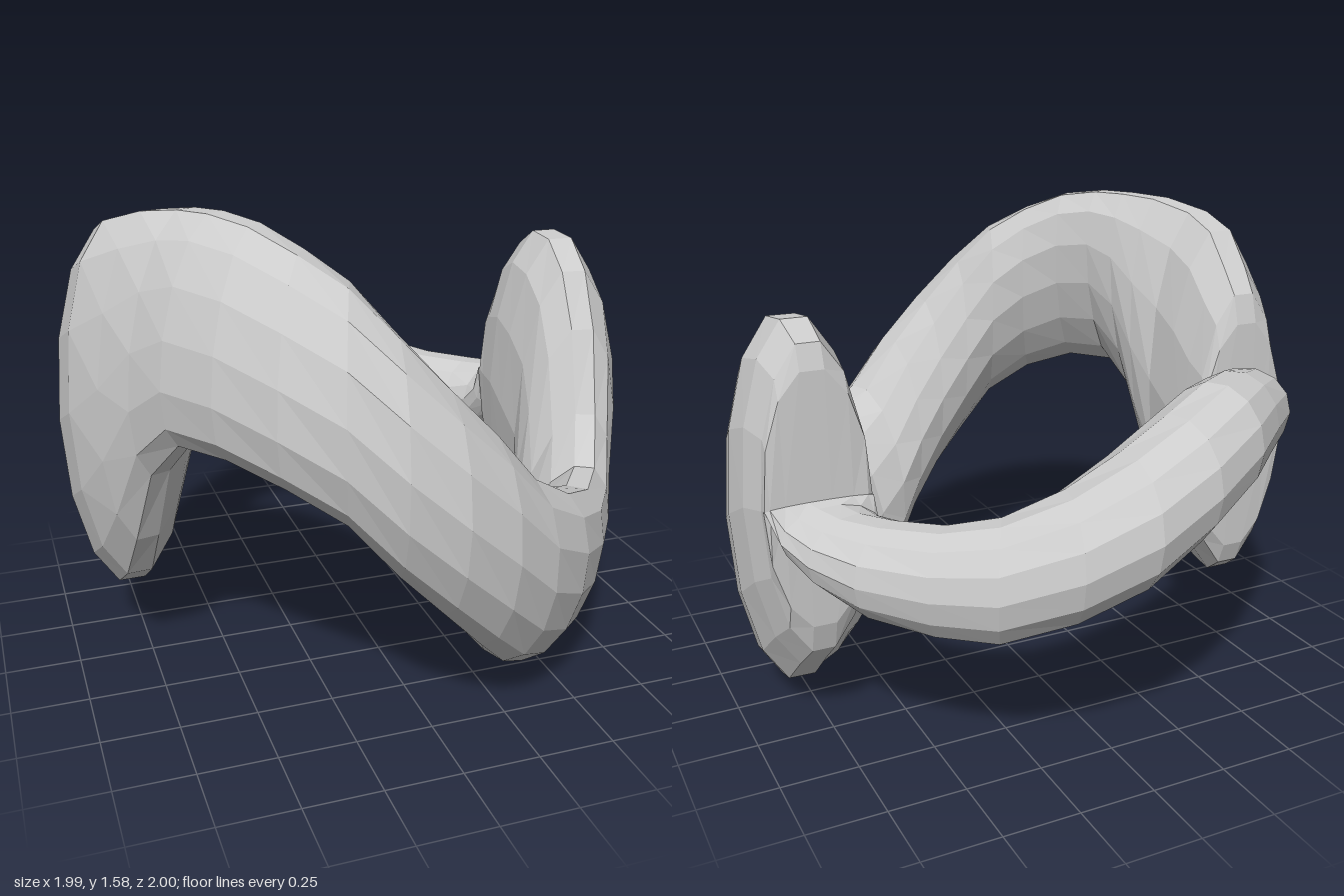
import * as THREE from 'three';

// Half of the loop, front to back along the left side. Each cross-section:
// centre x, centre z, plan angle (deg), half width, lean, centre height, half height
const HALF = [
  [0, 0.785, 0, 0.215, 0, 0, 0.36],
  [0.135, 0.765, 10, 0.21, 0.02, -0.15, 0.36],
  [0.26, 0.71, 20, 0.2, 0.05, -0.3, 0.34],
  [0.39, 0.63, 32, 0.18, 0.07, -0.39, 0.33],
  [0.51, 0.51, 45, 0.16, 0.08, -0.45, 0.33],
  [0.605, 0.38, 58, 0.15, 0.08, -0.46, 0.34],
  [0.67, 0.27, 68, 0.15, 0.07, -0.39, 0.41],
  [0.73, 0.17, 77, 0.17, 0.04, -0.25, 0.54],
  [0.785, 0.06, 84, 0.19, 0, -0.14, 0.61],
  [0.795, -0.07, 88, 0.2, 0, -0.07, 0.63],
  [0.785, -0.18, 90, 0.19, 0, -0.01, 0.58],
  [0.77, -0.26, 90, 0.17, 0, 0, 0.51],
  [0.77, -0.288, 90, 0.17, 0, 0.01, 0.42],
  [0.77, -0.3, 90, 0.17, 0, 0.01, 0.01], // pinch
  [0.75, -0.33, 95, 0.16, 0, -0.08, 0.09],
  [0.71, -0.39, 108, 0.155, 0, -0.125, 0.12],
  [0.63, -0.48, 122, 0.155, 0, -0.16, 0.15],
  [0.5, -0.6, 140, 0.15, 0, -0.175, 0.17],
  [0.36, -0.7, 152, 0.17, 0, -0.16, 0.19],
  [0.18, -0.77, 167, 0.19, 0, -0.09, 0.2],
  [0, -0.8, 180, 0.2, 0, 0, 0.21],
];
const SIDES = 14;
const MID_HEIGHT = 0.8;

// The other half is the first one turned half a turn about the z axis
function fullLoop() {
  const other = HALF.slice(1, -1).reverse()
    .map(([x, z, angle, w, lean, y, h]) => [-x, z, -angle, w, -lean, -y, h]);
  return [...HALF, ...other];
}

// Skin a closed ring of leaning elliptical cross-sections
function loftRing(sections) {
  const positions = [];
  const indices = [];
  const count = sections.length;
  sections.forEach(([x, z, angle, w, lean, y, h], i) => {
    const a = THREE.MathUtils.degToRad(angle);
    for (let j = 0; j < SIDES; j++) {
      const v = (j / SIDES) * Math.PI * 2;
      const r = w * Math.cos(v) + lean * Math.sin(v);
      positions.push(x + r * Math.sin(a), MID_HEIGHT + y + h * Math.sin(v), z + r * Math.cos(a));
      const p = i * SIDES + j;
      const q = i * SIDES + ((j + 1) % SIDES);
      const next = ((i + 1) % count) * SIDES;
      const pn = next + j;
      const qn = next + ((j + 1) % SIDES);
      indices.push(p, pn, q, pn, qn, q);
    }
  });
  const geometry = new THREE.BufferGeometry();
  geometry.setAttribute('position', new THREE.Float32BufferAttribute(positions, 3));
  geometry.setIndex(indices);
  geometry.computeVertexNormals();
  return geometry;
}

export function createModel() {
  const group = new THREE.Group();
  group.name = 'twistedRing';
  const material = new THREE.MeshStandardMaterial({
    color: 0xcccccc, flatShading: true, side: THREE.DoubleSide,
  });
  const ring = new THREE.Mesh(loftRing(fullLoop()), material);
  ring.name = 'pinchedTube';
  group.add(ring);
  return group;
}
